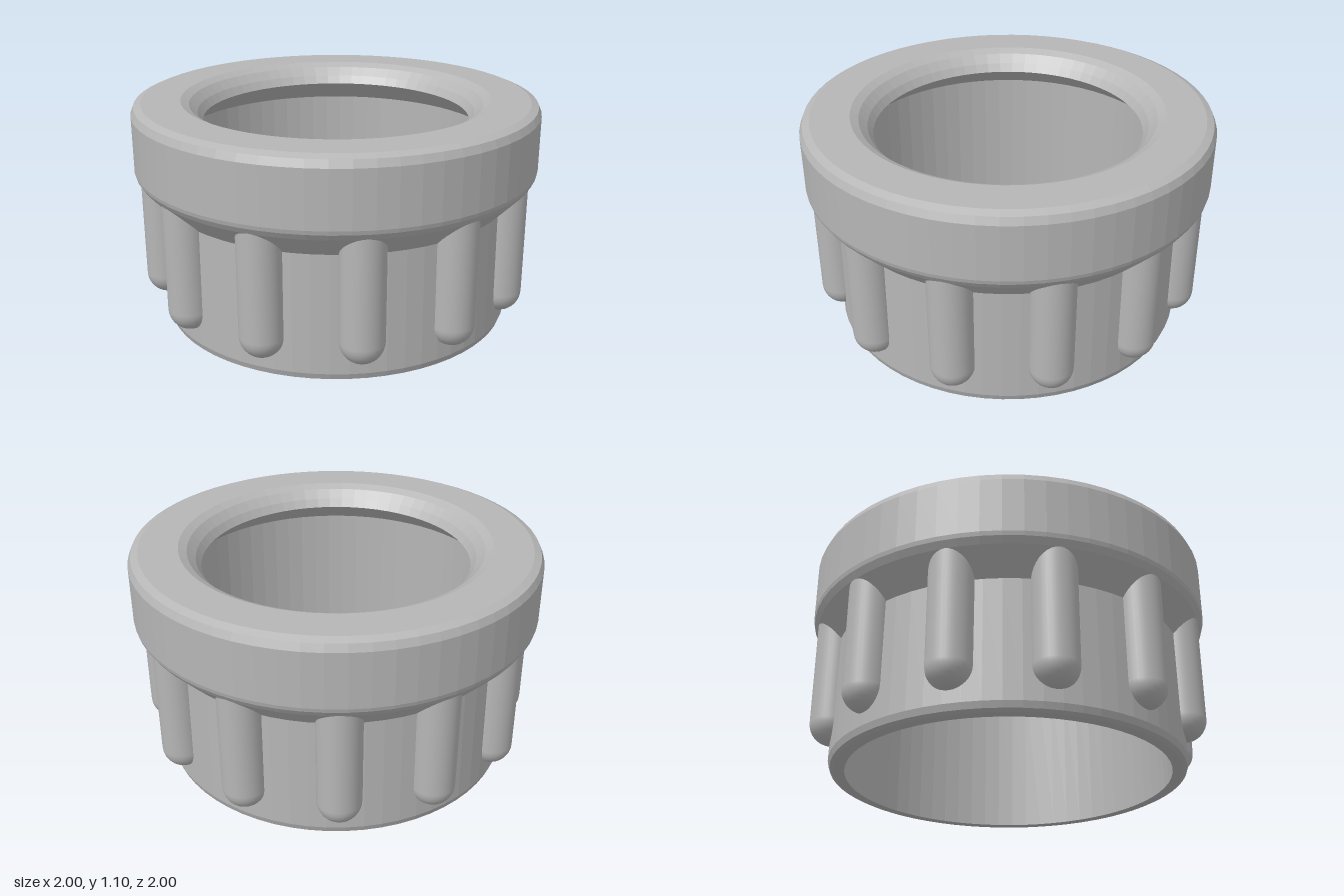
import * as THREE from 'three';

const SEGMENTS = 64;
const RIB_COUNT = 12;
const RIB_RADIUS = 0.105;
const RIB_RING = 0.87;

const toPoints = (list) => list.map(([r, y]) => new THREE.Vector2(r, y));

// Faceted ring turned from a profile
function turnedRing(profile) {
  const geometry = new THREE.LatheGeometry(toPoints(profile), SEGMENTS).toNonIndexed();
  geometry.computeVertexNormals();
  return geometry;
}

// Grip rib: round-ended bar, open at the back where it sinks into the wall
function ribGeometry() {
  const profile = [];
  for (let i = 0; i <= 8; i++) {
    const a = (i / 8) * Math.PI / 2;
    profile.push([RIB_RADIUS * Math.sin(a), 0.205 - RIB_RADIUS * Math.cos(a)]);
  }
  profile.push([RIB_RADIUS, 0.78]);
  return new THREE.LatheGeometry(toPoints(profile), 20, -0.6 * Math.PI, 1.2 * Math.PI);
}

export function createModel() {
  const model = new THREE.Group();
  model.name = 'ribbedCollar';
  const grey = new THREE.MeshStandardMaterial({ color: 0xb6b6b6 });
  grey.name = 'grey';

  // Sleeve, collar, rounded top lip and bore in one closed profile
  const body = new THREE.Mesh(turnedRing([
    [0.795, 0], [0.845, 0], [0.865, 0.01], [0.875, 0.04], [0.87, 0.62], // sleeve
    [0.975, 0.73], [0.995, 0.76], [1, 0.78],                            // flare
    [1, 1.05], [0.985, 1.085], [0.95, 1.1],                             // collar
    [0.76, 1.1], [0.72, 1.08], [0.68, 1.04], [0.655, 1.0],              // top lip
    [0.795, 0.89], [0.795, 0],                                          // bore
  ]), grey);
  body.name = 'sleeveAndCollar';
  model.add(body);

  // Ribs evenly spaced around the sleeve
  const ribs = new THREE.Group();
  ribs.name = 'gripRibs';
  const geometry = ribGeometry();
  for (let i = 0; i < RIB_COUNT; i++) {
    const angle = (i / RIB_COUNT) * Math.PI * 2;
    const rib = new THREE.Mesh(geometry, grey);
    rib.name = `gripRib${i + 1}`;
    rib.position.set(RIB_RING * Math.sin(angle), 0, RIB_RING * Math.cos(angle));
    rib.rotation.y = angle;
    ribs.add(rib);
  }
  model.add(ribs);
  return model;
}
